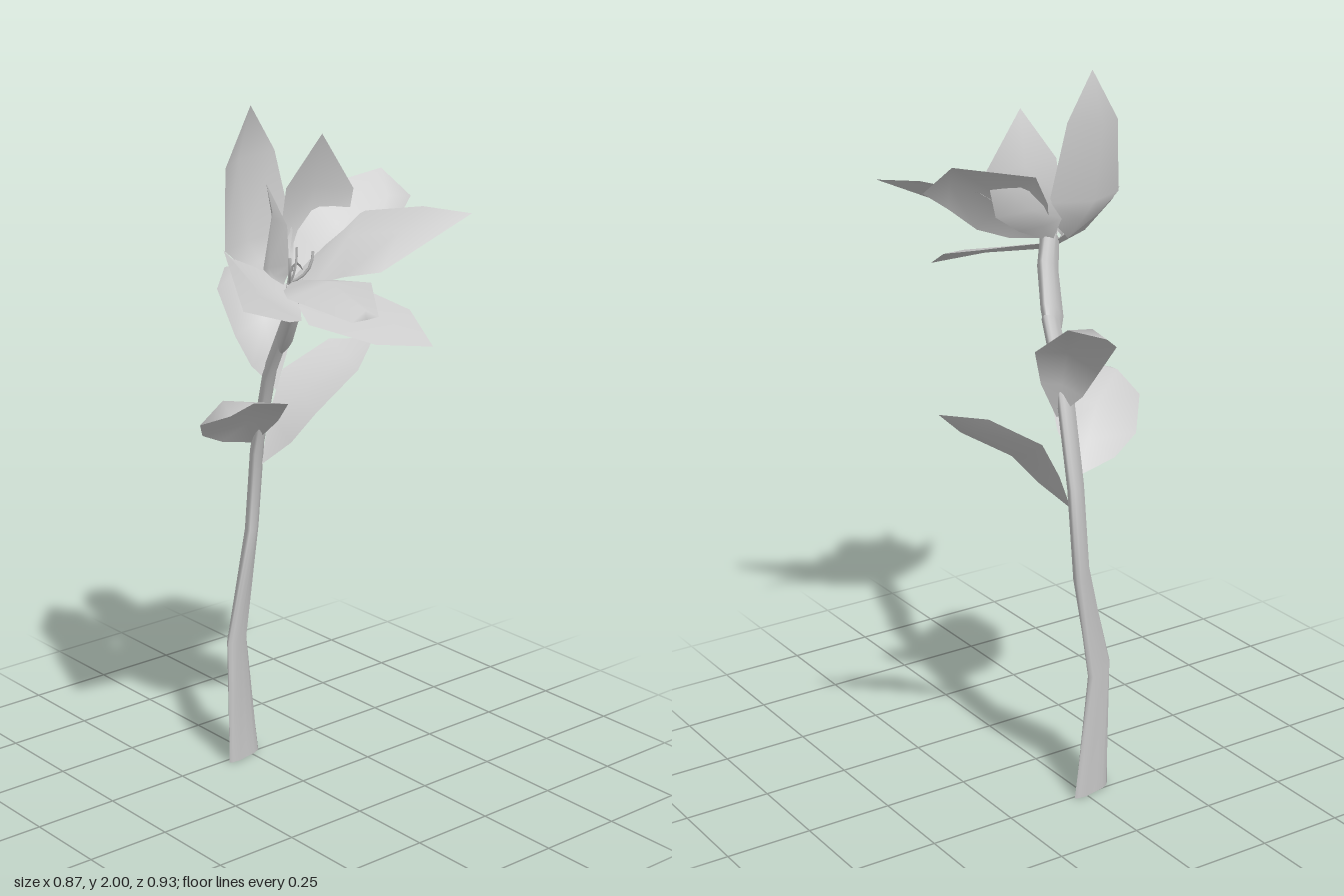
import * as THREE from 'three';

const material = new THREE.MeshStandardMaterial({ color: 0xcccccc, side: THREE.DoubleSide });

function meshFrom(name, points, index) {
  const geometry = new THREE.BufferGeometry().setFromPoints(points);
  geometry.setIndex(index);
  geometry.computeVertexNormals();
  const mesh = new THREE.Mesh(geometry, material);
  mesh.name = name;
  return mesh;
}

// Blade: base, two cross rows (each an edge pair) and a tip, rounded near the base, cupped along the midrib
function blade(name, cup, ...corners) {
  const [base, L1, R1, L2, R2, tip] = corners.map((p) => new THREE.Vector3(...p));
  const across = R1.clone().sub(L1);
  const normal = across.clone().add(R2).sub(L2).cross(tip.clone().sub(base)).normalize();
  const L0 = base.clone().lerp(L1, 0.5).addScaledVector(across, -0.08);
  const R0 = base.clone().lerp(R1, 0.5).addScaledVector(across, 0.08);
  const points = [base], index = [0, 2, 1, 0, 3, 2];
  for (const [l, r, depth] of [[L0, R0, 0.6], [L1, R1, 1], [L2, R2, 1]]) {
    points.push(l, l.clone().lerp(r, 0.5).addScaledVector(normal, -cup * depth), r);
  }
  points.push(tip);
  for (const k of [1, 2, 4, 5]) index.push(k, k + 1, k + 4, k, k + 4, k + 3);
  index.push(7, 8, 10, 8, 9, 10);
  return meshFrom(name, points, index);
}

// Open flattened stalk: fluted rings square to the path; each row is x, y, z, half width, half depth, turn
function stalk(name, rows, sides = 12) {
  const points = [], index = [];
  const centres = rows.map(([x, y, z]) => new THREE.Vector3(x, y, z));
  rows.forEach(([, y, , width, depth, turn], i) => {
    const along = y === 0 ? new THREE.Vector3(0, 1, 0)
      : centres[Math.min(i + 1, rows.length - 1)].clone().sub(centres[Math.max(i - 1, 0)]).normalize();
    const wide = new THREE.Vector3(Math.cos(turn), 0, Math.sin(turn)).projectOnPlane(along).normalize();
    const deep = wide.clone().cross(along);
    for (let k = 0; k < sides; k++) {
      const angle = (k / sides) * Math.PI * 2;
      const flute = k % 2 ? 0.8 : 1;
      points.push(centres[i].clone()
        .addScaledVector(wide, Math.cos(angle) * width)
        .addScaledVector(deep, Math.sin(angle) * depth * flute));
      if (i < rows.length - 1) {
        const p = i * sides + k, q = i * sides + (k + 1) % sides;
        index.push(p, p + sides, q, q, p + sides, q + sides);
      }
    }
  });
  return meshFrom(name, points, index);
}

export function createModel() {
  const flower = new THREE.Group();
  flower.name = 'flower';

  // Stem and the neck that carries the bloom
  flower.add(stalk('stem', [
    [-0.025, 0, -0.245, 0.066, 0.016, -0.2],
    [-0.048, 0.38, -0.245, 0.06, 0.02, -0.5],
    [0.035, 0.7, -0.275, 0.063, 0.02, -0.8],
    [0.045, 0.95, -0.26, 0.06, 0.02, -0.8],
    [0.025, 1.2, -0.175, 0.058, 0.02, -0.8],
    [-0.005, 1.36, -0.065, 0.055, 0.02, -0.8],
  ]));
  flower.add(stalk('neck', [
    [-0.015, 1.32, -0.06, 0.045, 0.018, -0.8],
    [-0.04, 1.36, -0.02, 0.065, 0.026, -0.8],
    [-0.08, 1.46, 0.06, 0.062, 0.026, -0.8],
    [-0.12, 1.54, 0.11, 0.055, 0.024, -0.8],
  ]));

  // Leaves
  const leaves = new THREE.Group();
  leaves.name = 'leaves';
  leaves.add(
    blade('backLeaf', -0.03, [0.06, 1.13, -0.19], [0, 1.275, -0.3], [0.17, 1.35, -0.25],
      [0.03, 1.385, -0.42], [0.17, 1.45, -0.4], [0.095, 1.43, -0.467]),
    blade('leftLeaf', 0.015, [0.06, 0.89, -0.26], [0.21, 1.13, -0.345], [0.19, 1.04, -0.17],
      [0.34, 1.21, -0.29], [0.35, 1.14, -0.17], [0.435, 1.215, -0.2]),
    blade('rightLeaf', -0.04, [0.02, 0.97, -0.24], [-0.02, 1.14, -0.04], [-0.19, 1.04, -0.21],
      [-0.18, 1.185, 0.01], [-0.27, 1.11, -0.115], [-0.255, 1.16, 0]),
  );
  flower.add(leaves);

  // Petals
  const petals = new THREE.Group();
  petals.name = 'petals';
  petals.add(
    blade('frontPetal', 0.025, [-0.11, 1.53, 0.09], [-0.27, 1.54, 0.26], [-0.02, 1.55, 0.3],
      [-0.225, 1.51, 0.46], [-0.135, 1.51, 0.46], [-0.18, 1.51, 0.463]),
    blade('lowerPetal', 0.01, [-0.1, 1.52, 0.1], [-0.19, 1.455, 0.25], [0.05, 1.5, 0.2],
      [-0.1, 1.42, 0.41], [0.09, 1.465, 0.33], [0.05, 1.4, 0.465]),
    blade('leftFrontPetal', 0.03, [-0.12, 1.53, 0.09], [-0.04, 1.55, 0.21], [0.11, 1.69, 0.11],
      [0.005, 1.575, 0.31], [0.215, 1.71, 0.24], [0.285, 1.7, 0.355]),
    blade('leftBackPetal', 0.02, [-0.1, 1.54, 0.08], [0.08, 1.57, 0.17], [0, 1.74, 0],
      [0.17, 1.64, 0.17], [0.225, 1.785, 0.06], [0.28, 1.71, 0.12]),
    blade('innerPetal', 0.02, [-0.16, 1.53, 0.11], [-0.3, 1.61, 0.2], [-0.14, 1.58, 0.11],
      [-0.31, 1.77, 0.25], [-0.155, 1.69, 0.12], [-0.24, 1.815, 0.14]),
    blade('tallBackPetal', 0.04, [-0.16, 1.53, 0.08], [-0.33, 1.64, 0.08], [-0.07, 1.65, 0.04],
      [-0.31, 1.85, 0.06], [-0.115, 1.87, 0.02], [-0.21, 2, 0.04]),
    blade('shortBackPetal', 0.03, [-0.1, 1.53, 0.07], [-0.11, 1.66, 0.04], [0.07, 1.62, 0.09],
      [-0.1, 1.77, 0.05], [0.1, 1.75, 0.09], [-0.01, 1.91, 0.09]),
    blade('rightPetal', 0.02, [-0.13, 1.52, 0.1], [-0.19, 1.46, 0.22], [-0.31, 1.62, 0.08],
      [-0.27, 1.48, 0.27], [-0.35, 1.65, 0.1], [-0.437, 1.54, 0.29]),
  );
  flower.add(petals);

  // Stamens curling out of the centre
  for (const [dx, dy, dz] of [[-0.04, 0.08, 0.05], [0, 0.1, 0.03], [0.03, 0.09, 0.06]]) {
    const curve = new THREE.QuadraticBezierCurve3(
      new THREE.Vector3(-0.13, 1.53, 0.1),
      new THREE.Vector3(-0.13 + dx, 1.53 + dy * 0.3, 0.1 + dz),
      new THREE.Vector3(-0.13 + dx, 1.53 + dy, 0.1 + dz));
    const stamen = new THREE.Mesh(new THREE.TubeGeometry(curve, 5, 0.004, 4), material);
    stamen.name = 'stamen';
    flower.add(stamen);
  }
  return flower;
}
